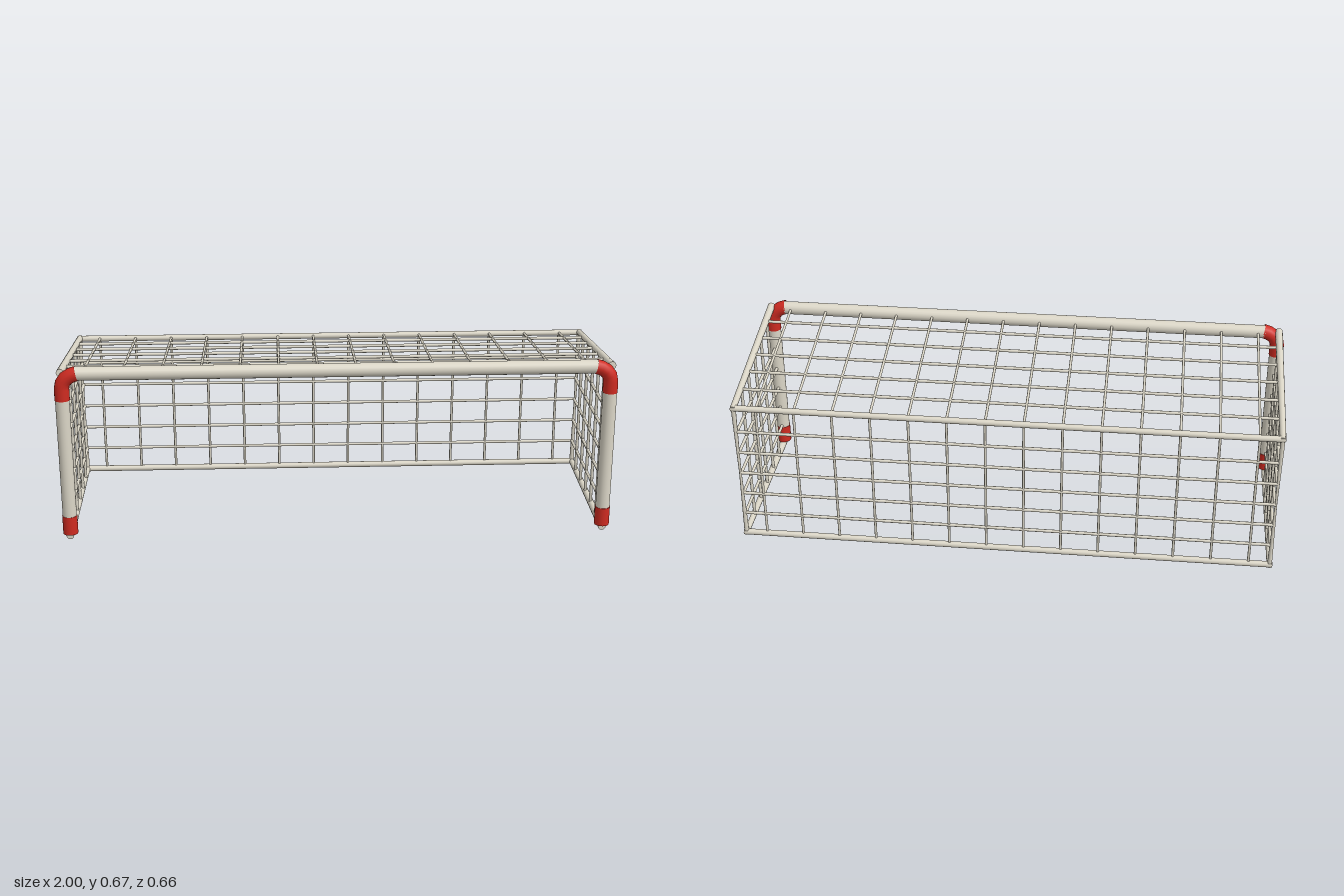
import * as THREE from 'three';

export function createModel() {
  const goal = new THREE.Group();
  goal.name = 'goal';
  const cream = new THREE.MeshStandardMaterial({ color: 0xdbd6c7 });
  cream.name = 'cream paint';
  const red = new THREE.MeshStandardMaterial({ color: 0xcf2b21, side: THREE.DoubleSide });
  red.name = 'red paint';

  const V = (x, y, z) => new THREE.Vector3(x, y, z);
  const UP = V(0, 1, 0);

  // Straight round bar from a to b, optionally tapered
  function bar(name, parent, a, b, ra, rb = ra, material = cream, sides = 12) {
    const dir = b.clone().sub(a);
    const mesh = new THREE.Mesh(new THREE.CylinderGeometry(rb, ra, dir.length(), sides), material);
    mesh.name = name;
    mesh.position.copy(a).add(b).multiplyScalar(0.5);
    mesh.quaternion.setFromUnitVectors(UP, dir.normalize());
    parent.add(mesh);
  }

  const postX = 0.973, postZ = 0.306, barY = 0.639;
  const sideX = 0.976, backZ = -0.32, topFront = 0.643, topBack = 0.563, floorY = 0.014;
  // Height of the sloping roof at depth z
  const roofY = z => topBack + (topFront - topBack) * (z - backZ) / (postZ - backZ);

  const frame = new THREE.Group();
  frame.name = 'frame';
  goal.add(frame);

  // Front crossbar and rear bars
  bar('crossbar', frame, V(-0.925, barY, postZ - 0.002), V(0.925, barY, postZ - 0.002), 0.0248, 0.0248, cream, 20);
  bar('rearTopBar', frame, V(-0.985, topBack, backZ), V(0.985, topBack, backZ), 0.0115);
  bar('rearBottomBar', frame, V(-0.985, 0.016, backZ), V(0.985, 0.016, backZ), 0.0115);

  for (const s of [1, -1]) {
    const side = s > 0 ? 'left' : 'right';

    // Front post with its red foot
    bar(side + 'Post', frame, V(s * postX, 0.03, postZ), V(s * postX, 0.56, postZ), 0.0255, 0.0255, cream, 20);
    bar(side + 'Foot', frame, V(s * postX, 0.027, postZ), V(s * postX, 0.097, postZ), 0.0272, 0.0272, red, 20);

    // Red bent corner joining post and crossbar
    const path = new THREE.CurvePath();
    path.add(new THREE.LineCurve3(V(s * postX, 0.543, postZ), V(s * postX, 0.59, postZ)));
    path.add(new THREE.QuadraticBezierCurve3(
      V(s * postX, 0.59, postZ), V(s * 0.967, 0.63, postZ), V(s * 0.918, 0.6405, postZ)));
    const elbow = new THREE.Mesh(new THREE.TubeGeometry(path, 6, 0.027, 16), red);
    elbow.name = side + 'Corner';
    frame.add(elbow);

    // Side rails
    bar(side + 'TopRail', frame, V(s * sideX, topFront, postZ), V(s * sideX, topBack, backZ - 0.008), 0.014, 0.0115);
    bar(side + 'BottomRail', frame, V(s * sideX, floorY, postZ), V(s * sideX, 0.016, backZ - 0.008), 0.014, 0.0105);

    // Rear upright, slim at the middle
    const waist = [[0.009, 0.012], [0.0045, 0.29], [0.009, 0.566]].map(p => new THREE.Vector2(...p));
    const upright = new THREE.Mesh(new THREE.LatheGeometry(waist, 10), cream);
    upright.position.set(s * sideX, 0, backZ);
    upright.name = side + 'RearUpright';
    frame.add(upright);
  }

  // Net of thin rods on the sides, back and roof
  const net = new THREE.Group();
  net.name = 'net';
  goal.add(net);
  const rod = (name, a, b, r = 0.006) => bar(name, net, a, b, r, r, cream, 8);

  for (let i = 0; i < 5; i++) {
    const y = 0.105 + i * 0.0895;
    const z = 0.203 - i * 0.1033;
    for (const s of [1, -1]) {
      rod('sideNetRow', V(s * 0.972, y, postZ), V(s * 0.972, y, backZ));
      rod('sideNetColumn', V(s * 0.972, floorY, z), V(s * 0.972, roofY(z), z));
    }
    rod('backNetRow', V(-sideX, y, backZ), V(sideX, y, backZ));
    rod('roofNetRow', V(-sideX, roofY(z), z), V(sideX, roofY(z), z));
  }
  for (let i = 0; i < 14; i++) {
    const x = -0.898 + i * 0.138;
    rod('backNetColumn', V(x, 0.016, backZ), V(x, topBack, backZ), 0.005);
    rod('roofNetColumn', V(x, roofY(postZ), postZ), V(x, topBack, backZ), 0.005);
  }
  return goal;
}
